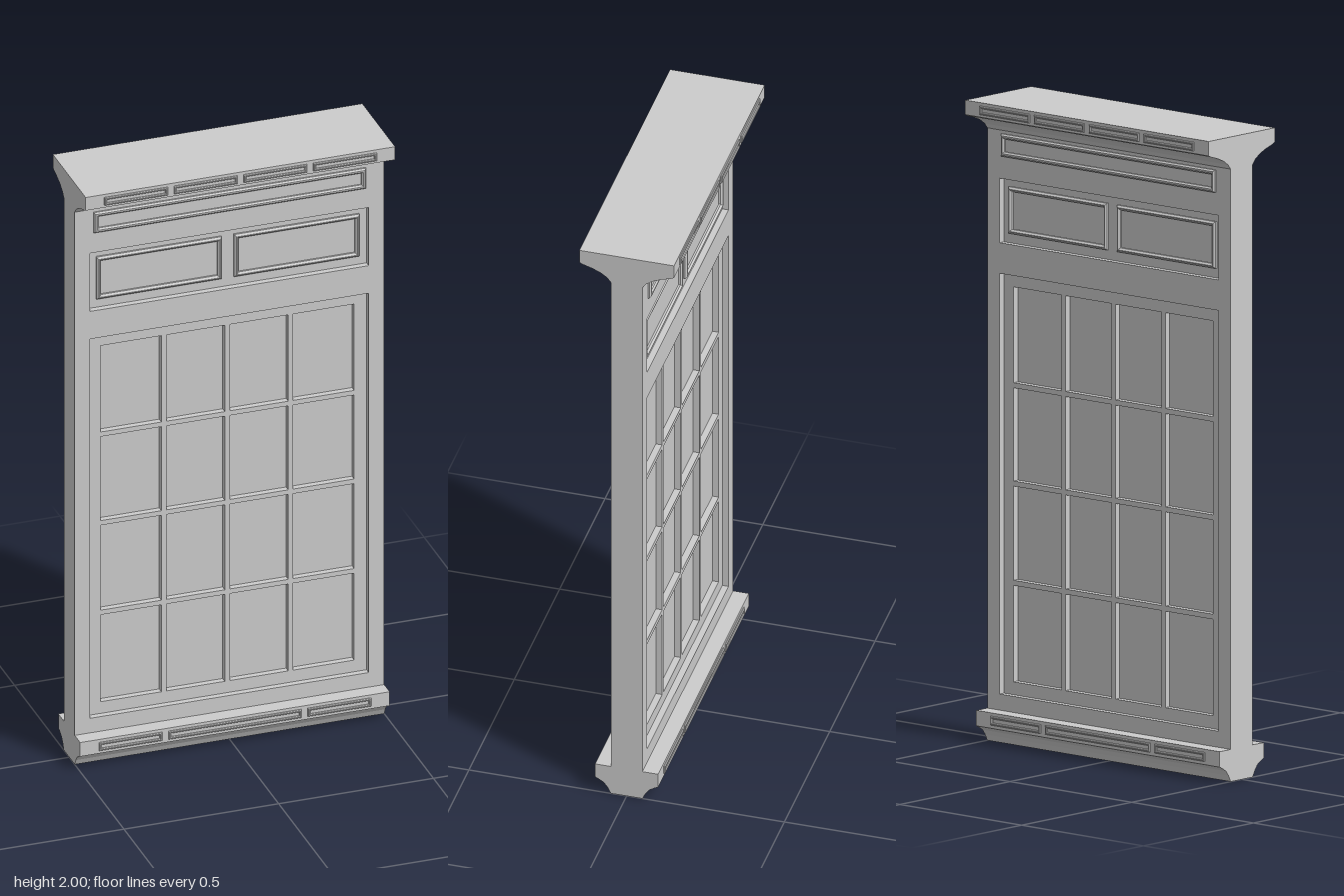
import * as THREE from 'three';

const material = new THREE.MeshStandardMaterial({ color: 0xcccccc, flatShading: true });

// Rectangle outline from corner coordinates
function rect(x0, x1, y0, y1, Type = THREE.Shape) {
  return new Type([[x0, y0], [x1, y0], [x1, y1], [x0, y1]].map(p => new THREE.Vector2(...p)));
}

function addMesh(parent, name, geometry) {
  const mesh = new THREE.Mesh(geometry, material);
  mesh.name = name;
  parent.add(mesh);
  return mesh;
}

// Flat plate with rectangular openings, centred on z = 0
function plate(outer, openings, halfDepth) {
  const shape = rect(...outer);
  openings.forEach(o => shape.holes.push(rect(...o, THREE.Path)));
  return new THREE.ExtrudeGeometry(shape, { depth: halfDepth * 2, bevelEnabled: false })
    .translate(0, 0, -halfDepth);
}

// Bevelled rectangular moulding standing proud of a surface at z
function addMoulding(parent, name, [x0, x1, y0, y1], z, rise, width) {
  const b = rise * 0.5, w = width - b;
  const shape = rect(x0 + b, x1 - b, y0 + b, y1 - b);
  shape.holes.push(rect(x0 + w, x1 - w, y0 + w, y1 - w, THREE.Path));
  const geometry = new THREE.ExtrudeGeometry(shape, {
    depth: rise, bevelSize: b, bevelThickness: b, bevelSegments: 1,
  });
  addMesh(parent, name, geometry).position.z = z - b;
}

// Mirrored (z, y) half profile swept along the full width
function sweep(half) {
  const points = [...half, ...half.map(([z, y]) => [-z, y]).reverse()];
  const shape = new THREE.Shape(points.map(p => new THREE.Vector2(...p)));
  return new THREE.ExtrudeGeometry(shape, { depth: 1, bevelEnabled: false })
    .translate(0, 0, -0.5).rotateY(Math.PI / 2);
}

export function createModel() {
  const model = new THREE.Group();
  model.name = 'windowWall';

  // Wall with window and transom openings
  const windowOpening = [-0.45, 0.45, 0.15, 1.455];
  const transomOpening = [-0.45, 0.45, 1.55, 1.75];
  addMesh(model, 'wall', plate([-0.5, 0.5, 0.1, 1.9], [windowOpening, transomOpening], 0.05));

  // Coved cornice and base
  addMesh(model, 'cornice', sweep([
    [0.05, 1.9], [0.062, 1.915], [0.082, 1.929], [0.11, 1.941], [0.14, 1.95], [0.15, 1.955], [0.15, 2],
  ]));
  addMesh(model, 'base', sweep([
    [0.05, 0], [0.06, 0.02], [0.072, 0.036], [0.088, 0.046], [0.1, 0.052], [0.1, 0.1],
  ]));

  // Window sash: a four by four grid of panes
  const panes = [], bar = 0.008;
  const xs = [-0.41, -0.205, 0, 0.205, 0.41];
  const ys = [0.19, 0.497, 0.805, 1.11, 1.415];
  for (let i = 0; i < 4; i++) for (let j = 0; j < 4; j++) {
    panes.push([
      xs[i] + (i > 0 ? bar : 0), xs[i + 1] - (i < 3 ? bar : 0),
      ys[j] + (j > 0 ? bar : 0), ys[j + 1] - (j < 3 ? bar : 0),
    ]);
  }
  addMesh(model, 'sash', plate(windowOpening, panes, 0.03));
  addMesh(model, 'glass', plate([-0.43, 0.43, 0.17, 1.435], [], 0.01));
  addMesh(model, 'transomPanel', plate(transomOpening, [], 0.03));

  // Raised mouldings, the same on both faces
  for (const turn of [0, Math.PI]) {
    const face = new THREE.Group();
    face.name = turn ? 'backMouldings' : 'frontMouldings';
    face.rotation.y = turn;
    model.add(face);

    addMoulding(face, 'friezeMoulding', [-0.44, 0.44, 1.82, 1.89], 0.05, 0.01, 0.015);
    for (const [x0, x1] of [[-0.425, -0.02], [0.02, 0.425]])
      addMoulding(face, 'transomMoulding', [x0, x1, 1.58, 1.725], 0.03, 0.012, 0.014);
    for (const [x0, x1] of [[-0.44, -0.235], [-0.215, -0.01], [0.01, 0.215], [0.235, 0.44]])
      addMoulding(face, 'corniceMoulding', [x0, x1, 1.963, 1.99], 0.15, 0.005, 0.008);
    for (const [x0, x1] of [[-0.44, -0.235], [-0.215, 0.215], [0.235, 0.44]])
      addMoulding(face, 'baseMoulding', [x0, x1, 0.062, 0.09], 0.1, 0.005, 0.008);
  }
  return model;
}
